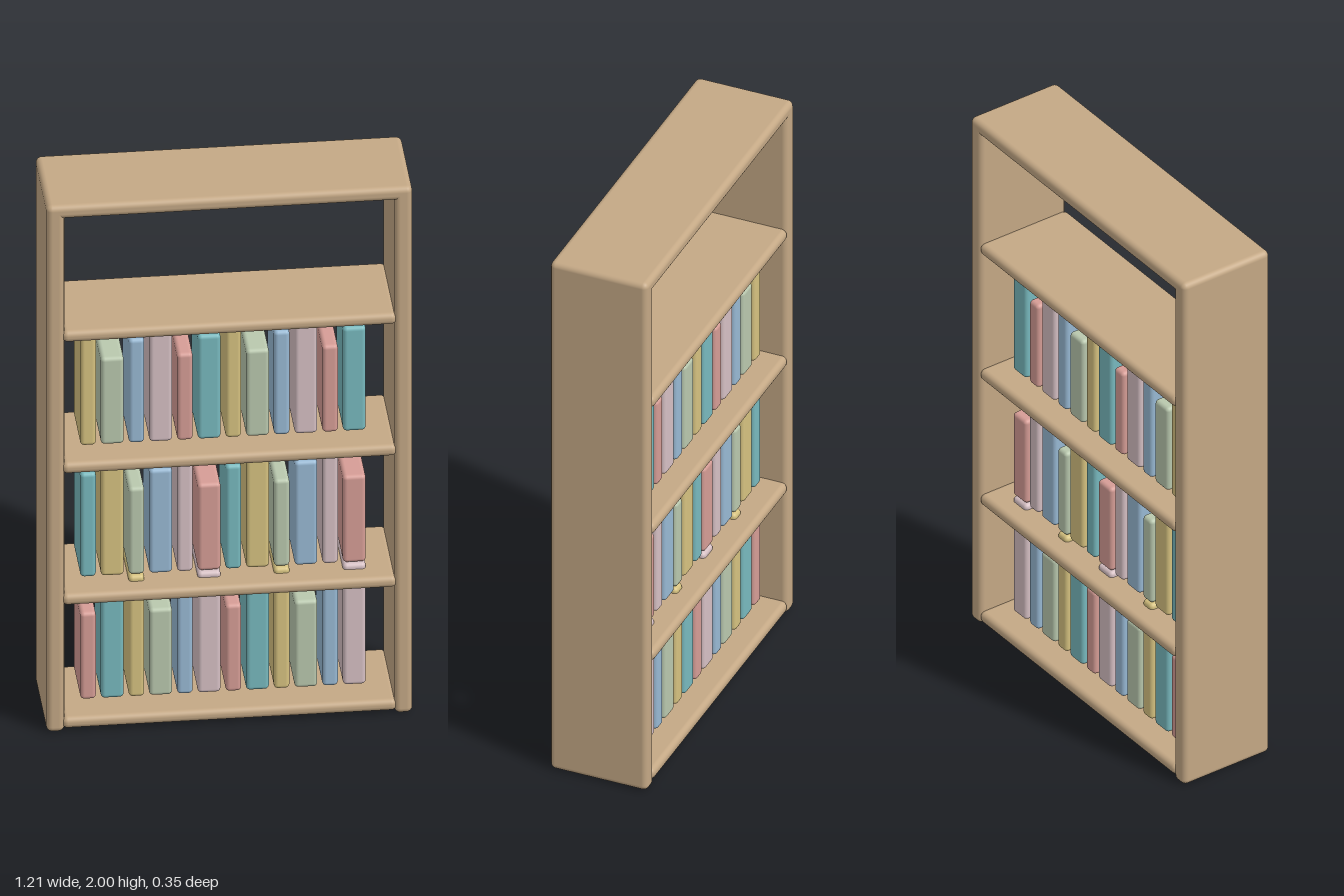
import * as THREE from 'three';
import { RoundedBoxGeometry } from 'three/addons/geometries/RoundedBoxGeometry.js';

function material(name, color) {
  const m = new THREE.MeshStandardMaterial({ color });
  m.name = name;
  return m;
}

// Softly rounded block, placed by its centre
function block(name, mat, [w, h, d], [x, y, z], radius) {
  const mesh = new THREE.Mesh(new RoundedBoxGeometry(w, h, d, 3, radius), mat);
  mesh.name = name;
  mesh.position.set(x, y, z);
  return mesh;
}

export function createModel() {
  const model = new THREE.Group();
  model.name = 'bookcase';

  const wood = material('wood', 0xc4a885);
  const covers = [
    material('red cover', 0xd69d96),
    material('teal cover', 0x78b9be),
    material('yellow cover', 0xd6c280),
    material('green cover', 0xb9c8ae),
    material('blue cover', 0x98b9d4),
    material('mauve cover', 0xd6c0c4),
  ];

  // Open frame: two sides and a top
  const frame = new THREE.Group();
  frame.name = 'frame';
  frame.add(block('leftSide', wood, [0.06, 1.995, 0.35], [0.575, 0.9975, 0], 0.02));
  frame.add(block('rightSide', wood, [0.06, 1.995, 0.35], [-0.575, 0.9975, 0], 0.02));
  frame.add(block('top', wood, [1.21, 0.05, 0.35], [0, 1.975, 0], 0.02));
  model.add(frame);

  // Four shelves, slightly let into the sides
  [0.032, 0.5, 1.0, 1.5].forEach((y, i) => {
    model.add(block(`shelf${i + 1}`, wood, [1.106, 0.042, 0.35], [0, y, 0], 0.019));
  });

  // Three rows of books; colour and height cycles shift by one per row
  const heights = [0.33, 0.395, 0.46];
  [0.08, 0.545, 1.045].forEach((base, row) => {
    const books = new THREE.Group();
    books.name = `bookRow${row + 1}`;
    for (let i = 0; i < 12; i++) {
      const step = i + row;
      const height = heights[step % 3];
      const width = i % 2 ? 0.076 : 0.052;
      books.add(block(`book${i + 1}`, covers[step % 6], [width, height, 0.215],
        [-0.46 + 0.08 * i, base + height / 2, 0], 0.014));
    }
    model.add(books);
  });

  return model;
}
